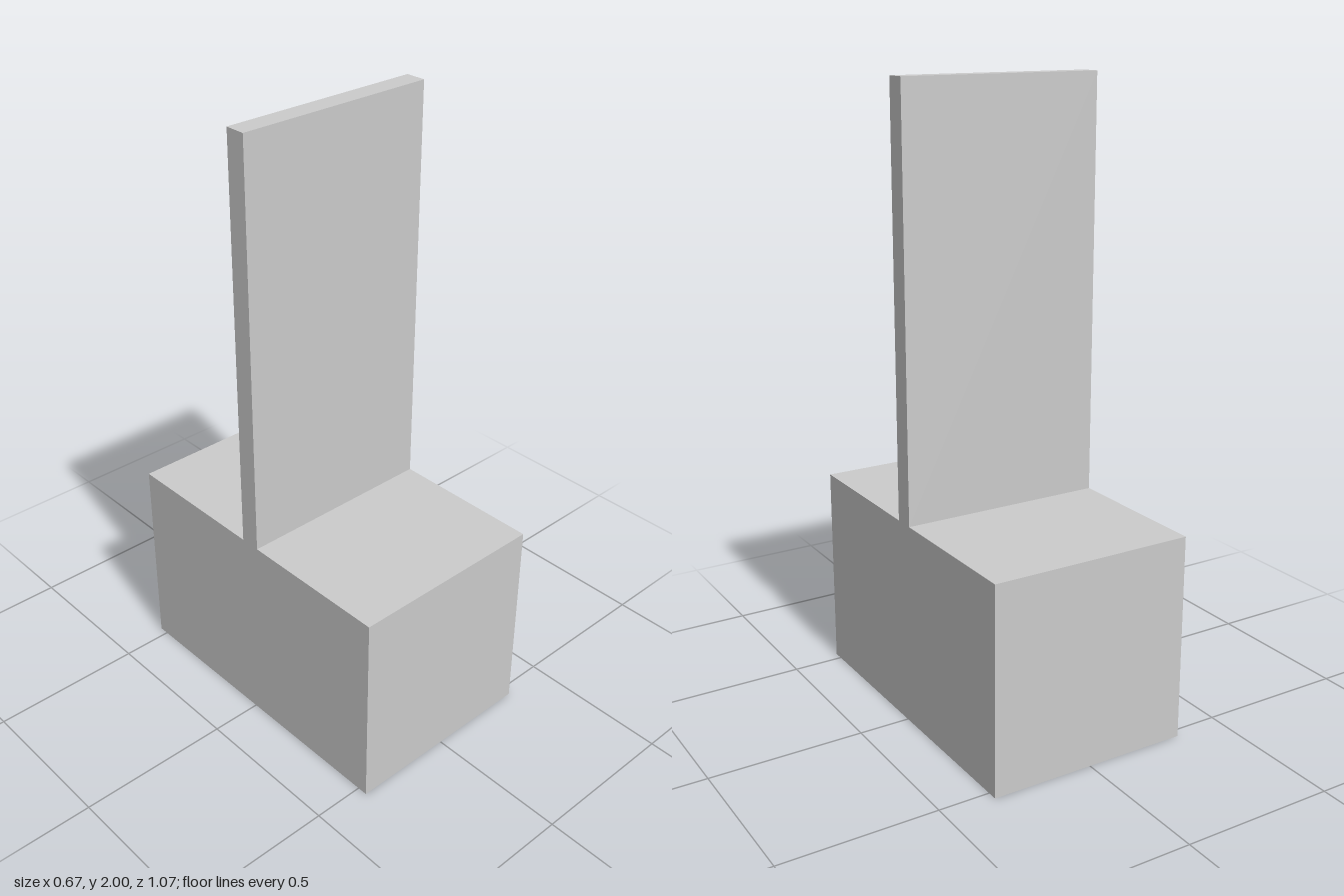
import * as THREE from 'three';

const WIDTH = 0.667;       // x extent shared by block and panel
const BASE_HALF = 0.533;   // half depth of the block
const PANEL_HALF = 0.0335; // half depth of the upright panel
const BASE_TOP = 0.667;
const TOP = 2;

export function createModel() {
  const group = new THREE.Group();
  group.name = 'blockWithPanel';

  // Inverted-T side profile: a block with a thin panel rising from its middle
  const half = [[BASE_HALF, 0], [BASE_HALF, BASE_TOP], [PANEL_HALF, BASE_TOP], [PANEL_HALF, TOP]];
  const mirrored = half.map(([z, y]) => [-z, y]).reverse();
  const profile = new THREE.Shape([...half, ...mirrored].map(([z, y]) => new THREE.Vector2(z, y)));

  // Extruded across the width, then turned so the profile faces the sides
  const geometry = new THREE.ExtrudeGeometry(profile, { depth: WIDTH, bevelEnabled: false });
  geometry.translate(0, 0, -WIDTH / 2);
  geometry.rotateY(Math.PI / 2);

  const body = new THREE.Mesh(geometry, new THREE.MeshStandardMaterial({ color: 0xcccccc }));
  body.name = 'baseAndUprightPanel';
  group.add(body);

  return group;
}
